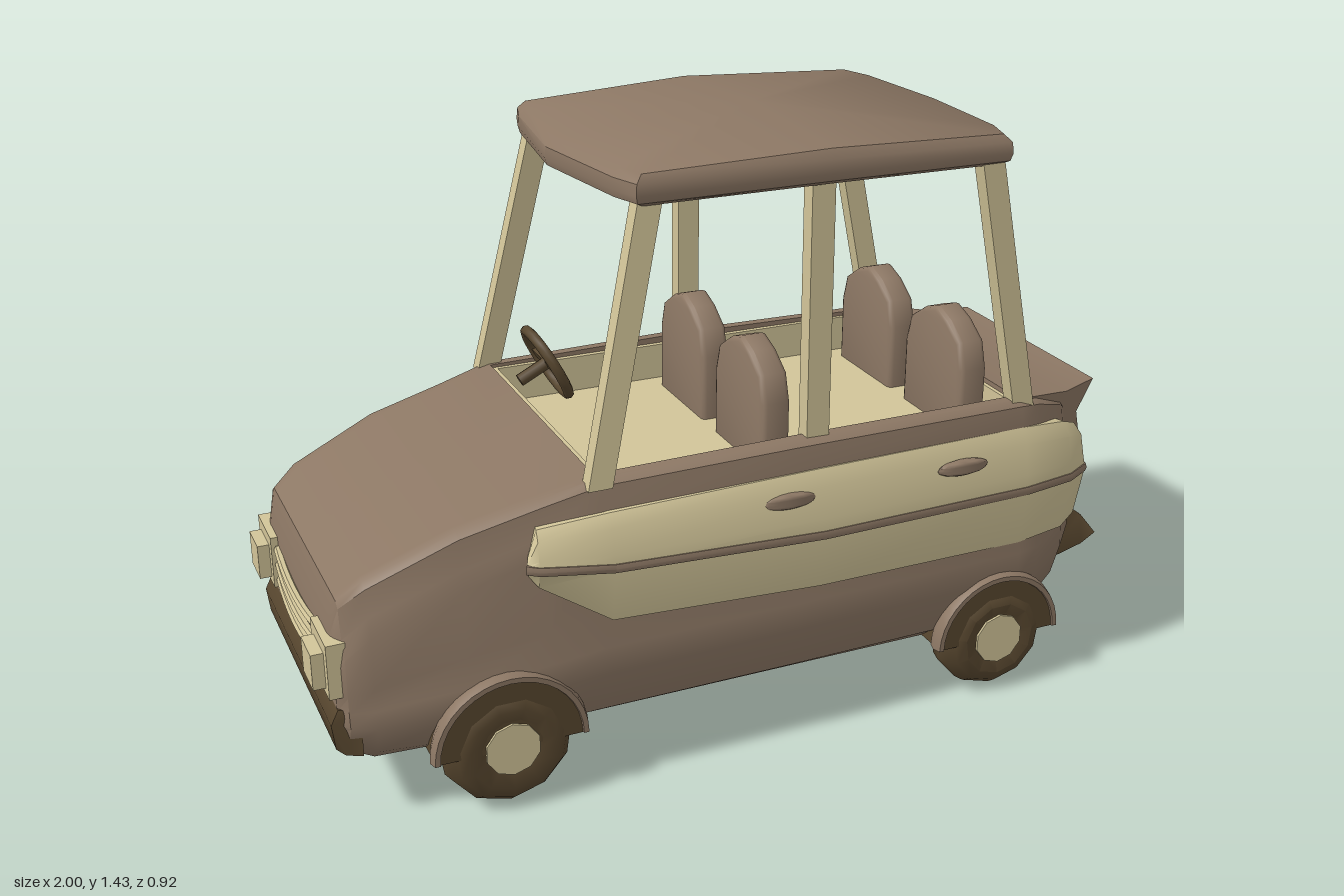
import * as THREE from 'three';
import { toCreasedNormals } from 'three/addons/utils/BufferGeometryUtils.js';

const V = (x, y, z) => new THREE.Vector3(x, y, z);
const paint = (color, side = THREE.FrontSide) => new THREE.MeshStandardMaterial({ color, side });
const brown = paint(0x8c7764), cream = paint(0xd2c599), dark = paint(0x58472f);
const brownOpen = paint(0x8c7764, THREE.DoubleSide), darkOpen = paint(0x58472f, THREE.DoubleSide);

// Skin through rings of equal length, with optional end caps
function loft(rings, caps = true) {
  const mid = (r) => {
    const centre = new THREE.Box3().setFromPoints(r).getCenter(V());
    return r.map(() => centre);
  };
  const all = caps ? [mid(rings[0]), ...rings, mid(rings[rings.length - 1])] : rings;
  const out = [];
  const tri = (a, b, c) => {
    if (b.clone().sub(a).cross(c.clone().sub(a)).length() > 1e-8) {
      for (const p of [a, b, c]) out.push(p.x, p.y, p.z);
    }
  };
  for (let i = 0; i < all.length - 1; i++) {
    const r = all[i], s = all[i + 1], n = r.length;
    for (let j = 0; j < n; j++) {
      const k = (j + 1) % n;
      tri(r[j], s[j], s[k]);
      tri(r[j], s[k], r[k]);
    }
  }
  const g = new THREE.BufferGeometry();
  g.setAttribute('position', new THREE.Float32BufferAttribute(out, 3));
  return g;
}

// Mirror a half ring across z = 0
const flipZ = (p) => V(p.x, p.y, -p.z);
const mirrorRing = (h) => [...h, ...h.slice(1, -1).reverse().map(flipZ)];

// Move every vertex by a rule
function reshape(g, rule) {
  const p = g.attributes.position;
  for (let i = 0; i < p.count; i++) {
    const v = V().fromBufferAttribute(p, i);
    rule(v);
    p.setXYZ(i, v.x, v.y, v.z);
  }
  return g;
}

const polygon = (pts) => new THREE.Shape(pts.map(([x, y]) => new THREE.Vector2(x, y)));

export function createModel() {
  const car = new THREE.Group();
  const add = (name, g, mat, crease = 0.6) => {
    const m = new THREE.Mesh(toCreasedNormals(g, crease), mat);
    m.name = name;
    car.add(m);
    return m;
  };
  const box = (name, mat, x0, x1, y0, y1, z0, z1) =>
    add(name, new THREE.BoxGeometry(x1 - x0, y1 - y0, z1 - z0), mat)
      .position.set((x0 + x1) / 2, (y0 + y1) / 2, (z0 + z1) / 2);

  // Body shell: x, bottom, shoulder, top, half widths at bottom, sill, waist, shoulder, cabin floor
  const stations = [
    [-0.955, 0.19, 0.40, 0.45, 0.29, 0.33, 0.33, 0.31],
    [-0.935, 0.165, 0.45, 0.53, 0.31, 0.36, 0.355, 0.335],
    [-0.88, 0.14, 0.50, 0.573, 0.32, 0.38, 0.372, 0.355],
    [-0.68, 0.14, 0.58, 0.66, 0.33, 0.418, 0.395, 0.38],
    [-0.50, 0.14, 0.63, 0.705, 0.34, 0.43, 0.408, 0.393],
    [-0.37, 0.14, 0.665, 0.738, 0.34, 0.432, 0.412, 0.408],
    [-0.37, 0.14, 0.665, 0.738, 0.34, 0.432, 0.412, 0.408, 0.62],
    [0.10, 0.14, 0.68, 0.745, 0.34, 0.432, 0.412, 0.41, 0.62],
    [0.70, 0.14, 0.68, 0.74, 0.34, 0.422, 0.402, 0.398, 0.62],
    [0.70, 0.14, 0.68, 0.74, 0.34, 0.422, 0.402, 0.398],
    [0.76, 0.15, 0.67, 0.73, 0.33, 0.41, 0.39, 0.38],
    [0.85, 0.205, 0.64, 0.70, 0.31, 0.375, 0.362, 0.345],
    [0.91, 0.25, 0.60, 0.65, 0.27, 0.315, 0.305, 0.285],
  ];
  const hull = stations.map(([x, yb, ys, yt, wb, wl, wm, ws, floor = yt]) => {
    const h = ys - yb;
    return mirrorRing([
      V(x, yb, 0), V(x, yb, wb), V(x, yb + 0.08 * h, wl - 0.03), V(x, yb + 0.28 * h, wl),
      V(x, yb + 0.4 * h, wl - 0.004), V(x, yb + 0.54 * h, wm), V(x, ys - 0.04, wm), V(x, ys, ws),
      V(x, yt - 0.012, ws - 0.012), V(x, yt, ws - 0.03),
      V(x, yt, ws - 0.055), V(x, floor, ws - 0.055), V(x, floor, 0),
    ]);
  });
  add('bodyShell', loft(hull), brown);

  // Cabin lining and floor
  const lining = polygon([[-0.37, -0.356], [0.70, -0.347], [0.70, 0.347], [-0.37, 0.356]]);
  lining.holes.push(new THREE.Path([[-0.355, -0.342], [-0.355, 0.342], [0.69, 0.335], [0.69, -0.335]]
    .map(([x, y]) => new THREE.Vector2(x, y))));
  const liningGeo = new THREE.ExtrudeGeometry(lining, { depth: 0.105, bevelEnabled: false });
  add('cabinLining', liningGeo.rotateX(-Math.PI / 2).translate(0, 0.625, 0), cream);
  box('cabinFloor', cream, -0.36, 0.695, 0.61, 0.64, -0.343, 0.343);

  // Side and rear band: x, z, top, crease, bottom
  const half = [
    [-0.55, 0.422, 0.605, 0.575, 0.55],
    [-0.525, 0.436, 0.655, 0.572, 0.525],
    [-0.36, 0.454, 0.672, 0.555, 0.42],
    [0.15, 0.449, 0.68, 0.53, 0.392],
    [0.70, 0.434, 0.68, 0.53, 0.385],
    [0.84, 0.41, 0.665, 0.53, 0.39],
    [0.912, 0.365, 0.64, 0.525, 0.40],
    [0.942, 0.28, 0.61, 0.52, 0.41],
    [0.945, 0, 0.605, 0.52, 0.415],
  ];
  const path = [...half, ...half.slice(0, -1).reverse().map(([x, z, ...r]) => [x, -z, ...r])];
  const sweep = (profile) => loft(path.map((s, i) => {
    const a = path[Math.max(0, i - 1)], b = path[Math.min(path.length - 1, i + 1)];
    const n = V(a[1] - b[1], 0, b[0] - a[0]).normalize();
    return profile(s[2], s[3], s[4]).map(([d, y]) => V(s[0] + n.x * d, y, s[1] + n.z * d));
  }));
  add('sideBand', sweep((t, c, b) => [
    [-0.08, b], [-0.02, b], [0, c], [-0.006, c + 0.25 * (t - c)],
    [-0.016, c + 0.75 * (t - c)], [-0.036, t], [-0.08, t]]), cream);
  add('bandTrim', sweep((t, c) => [
    [-0.03, c - 0.01], [0.001, c - 0.01], [0.004, c], [0.001, c + 0.01], [-0.03, c + 0.01]]), brown);

  // Tail deck with its overhanging lip
  const deck = new THREE.ExtrudeGeometry(
    polygon([[0.70, 0.60], [0.928, 0.60], [0.915, 0.65], [0.97, 0.722], [0.87, 0.716], [0.70, 0.742]]),
    { depth: 0.74, bevelEnabled: false });
  add('tailDeck', reshape(deck, (v) => { v.z = (v.z - 0.37) * (1 - 0.88 * Math.max(0, v.x - 0.72)); }), brown);

  // Roof: closed shell with a low peak in the middle
  const outline = [[0.67, 0], [0.652, 0.30], [0.625, 0.385], [0.17, 0.405], [-0.272, 0.375], [-0.295, 0.30], [-0.335, 0]];
  const roofRing = (k, y, lift) => mirrorRing(outline.map(([x, z]) => {
    const px = 0.17 + (x - 0.17) * k;
    return V(px, y + lift * (1 - Math.abs(px - 0.17) / 0.5), z * k);
  }));
  const peak = (y) => roofRing(0, y, 0);
  add('roof', loft([peak(1.335), roofRing(0.95, 1.318, 0.01), roofRing(0.99, 1.328, 0.01), roofRing(1, 1.345, 0.01),
    roofRing(0.995, 1.37, 0.015), roofRing(0.96, 1.386, 0.02), peak(1.426)], false), brown, 0.7);

  // Roof posts, seats, wheels and fittings in mirrored pairs
  const seatShape = polygon([[-0.12, 0.62], [0.12, 0.62], [0.12, 0.80], [0.102, 0.86], [0.05, 0.895],
    [0, 0.913], [-0.05, 0.895], [-0.102, 0.86], [-0.12, 0.80]]);
  const seatOptions = { depth: 0.046, bevelThickness: 0.012, bevelSize: 0.012, bevelSegments: 2 };
  const tyreProfile = [[0.06, -0.055], [0.10, -0.066], [0.128, -0.055], [0.148, -0.03], [0.155, 0],
    [0.148, 0.03], [0.128, 0.055], [0.10, 0.066], [0.06, 0.055]].map(([r, y]) => new THREE.Vector2(r, y));
  const posts = [
    ['frontPost', V(-0.372, 0.72, 0.383), V(-0.23, 1.345, 0.335)],
    ['middlePost', V(0.16, 0.68, 0.36), V(0.16, 1.355, 0.355)],
    ['rearPost', V(0.715, 0.70, 0.355), V(0.58, 1.345, 0.355)],
  ];
  for (const s of [1, -1]) {
    for (const [name, a, b] of posts) {
      const ring = (p) => [[1, -1], [1, 1], [-1, 1], [-1, -1]].map(([i, k]) =>
        V(p.x + i * 0.028, p.y, s * p.z + k * 0.02));
      add(name, loft([ring(a), ring(b)]), cream);
    }
    for (const [name, x] of [['frontSeat', 0.075], ['rearSeat', 0.595]]) {
      const g = new THREE.ExtrudeGeometry(seatShape, seatOptions);
      add(name, g.rotateY(Math.PI / 2), brown, 0.9).position.set(x, 0, s * 0.165);
    }
    for (const [x, r] of [[-0.6, 0.155], [0.645, 0.145]]) {
      const k = r / 0.155;
      const tyre = new THREE.LatheGeometry(tyreProfile, 11).rotateX(Math.PI / 2).scale(k, k, 1);
      add('tyre', tyre, dark, 0.7).position.set(x, r, s * 0.376);
      add('hubCap', new THREE.CylinderGeometry(0.064, 0.064, 0.128, 10).rotateX(Math.PI / 2), cream)
        .position.set(x, r, s * 0.376);
      add('wheelWell', new THREE.CylinderGeometry(r + 0.018, r + 0.018, 0.1, 20, 1, false, Math.PI / 2, Math.PI)
        .rotateX(Math.PI / 2), darkOpen).position.set(x, r, s * 0.384);
      add('wheelArch', new THREE.TorusGeometry(r + 0.016, 0.012, 6, 18, Math.PI).scale(1, 1, 2), brownOpen)
        .position.set(x, r, s * 0.418);
    }
    for (const x of [0.065, 0.515]) {
      add('doorHandle', new THREE.SphereGeometry(1, 12, 8).scale(0.068, 0.02, 0.016), brown, 1)
        .position.set(x, 0.625, s * 0.432);
    }
    box('headlightFrame', cream, -0.972, -0.93, 0.318, 0.448, s * 0.275 - 0.07, s * 0.275 + 0.07);
    box('headlight', cream, -1, -0.96, 0.335, 0.42, s * 0.275 - 0.045, s * 0.275 + 0.045);
  }

  // Grille: three bowed bars
  for (let i = 0; i < 3; i++) {
    const y = 0.33 + i * 0.04;
    const curve = new THREE.QuadraticBezierCurve3(V(-0.957, y + 0.01, 0.2), V(-0.972, y - 0.015, 0), V(-0.957, y + 0.01, -0.2));
    add('grilleBar', new THREE.TubeGeometry(curve, 8, 0.01, 6), cream);
  }

  // Bumpers: extruded side profiles with tapered ends
  const bumper = (name, pts, w, rule) => add(name, reshape(
    new THREE.ExtrudeGeometry(polygon(pts), { depth: 2 * w, bevelEnabled: false }),
    (v) => { v.z = (v.z - w) * rule(v); }), dark, 0.9);
  bumper('frontBumper', [[-0.91, 0.17], [-0.945, 0.17], [-0.965, 0.19], [-0.972, 0.25], [-0.955, 0.285], [-0.91, 0.285]],
    0.355, (v) => (v.x < -0.93 ? 0.95 : 1));
  bumper('rearBumper', [[0.88, 0.25], [0.915, 0.248], [0.97, 0.275], [0.995, 0.31], [0.965, 0.355], [0.935, 0.378], [0.88, 0.365]],
    0.32, (v) => 1 - 1.7 * Math.abs(v.y - 0.31));

  // Steering wheel with spokes and column
  const steering = new THREE.Group();
  steering.name = 'steeringWheel';
  const rim = new THREE.Mesh(new THREE.TorusGeometry(0.092, 0.013, 8, 20), dark);
  const spoke = new THREE.Mesh(new THREE.BoxGeometry(0.18, 0.022, 0.012), dark);
  const column = new THREE.Mesh(new THREE.CylinderGeometry(0.016, 0.016, 0.08, 8).rotateX(Math.PI / 2), dark);
  column.position.z = -0.04;
  steering.add(rim, spoke, column);
  steering.position.set(-0.275, 0.785, -0.2);
  steering.lookAt(-0.275 + 0.9, 0.785 + 0.46, -0.2);
  car.add(steering);

  return car;
}
